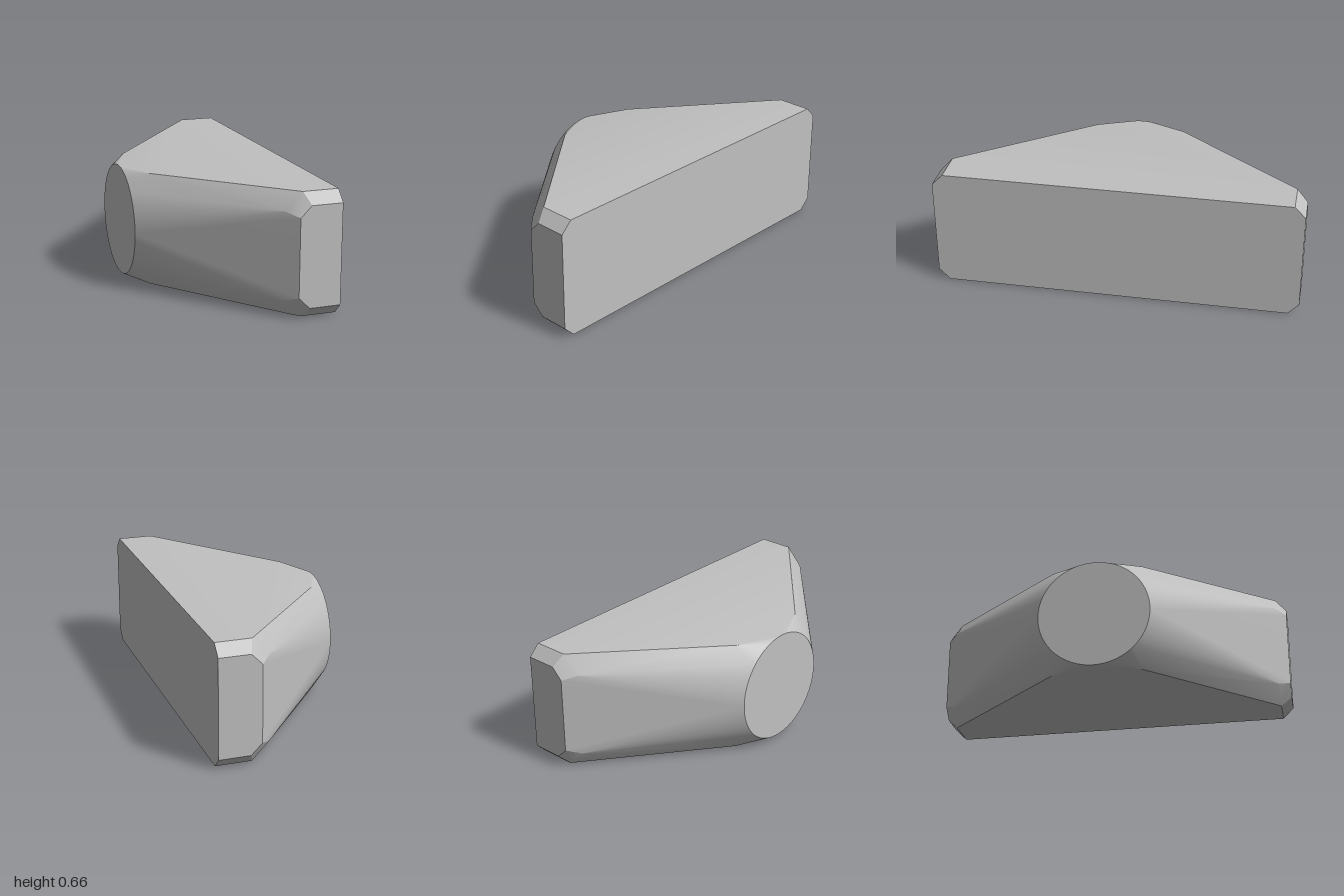
import * as THREE from 'three';
import { ConvexGeometry } from 'three/addons/geometries/ConvexGeometry.js';
import { toCreasedNormals } from 'three/addons/utils/BufferGeometryUtils.js';

export function createModel() {
  const model = new THREE.Group();
  const grey = new THREE.MeshStandardMaterial({ color: 0xc0c0c0 });
  grey.name = 'light grey';

  const midY = 0.33;
  const points = [];

  // Upper front corner: chamfered block, then the shoulders towards the nose
  const corner = [
    [0.44, 0.66, 0.94], [0.44, 0.6, 1],
    [0.245, 0.66, 0.94], [0.255, 0.64, 0.96],
    [0.27, 0.6, 1], [0.21, 0.54, 1],
    [0.15, 0.565, 0.935], [-0.34, 0.639, 0.25],
  ];
  // Mirror the corner up-down and front-back
  for (const [x, y, z] of corner)
    for (const sy of [1, -1])
      for (const sz of [1, -1])
        points.push(new THREE.Vector3(x, midY + sy * (y - midY), sz * z));

  // Round flat nose
  const segments = 96, radius = 0.305;
  for (let i = 0; i < segments; i++) {
    const a = (i / segments) * Math.PI * 2;
    points.push(new THREE.Vector3(-0.44, midY + radius * Math.cos(a), radius * Math.sin(a)));
  }

  // Body skin blends the block into the nose, smooth except at real edges
  const body = new THREE.Mesh(toCreasedNormals(new ConvexGeometry(points), 0.35), grey);
  body.name = 'taperedBody';
  model.add(body);
  return model;
}
